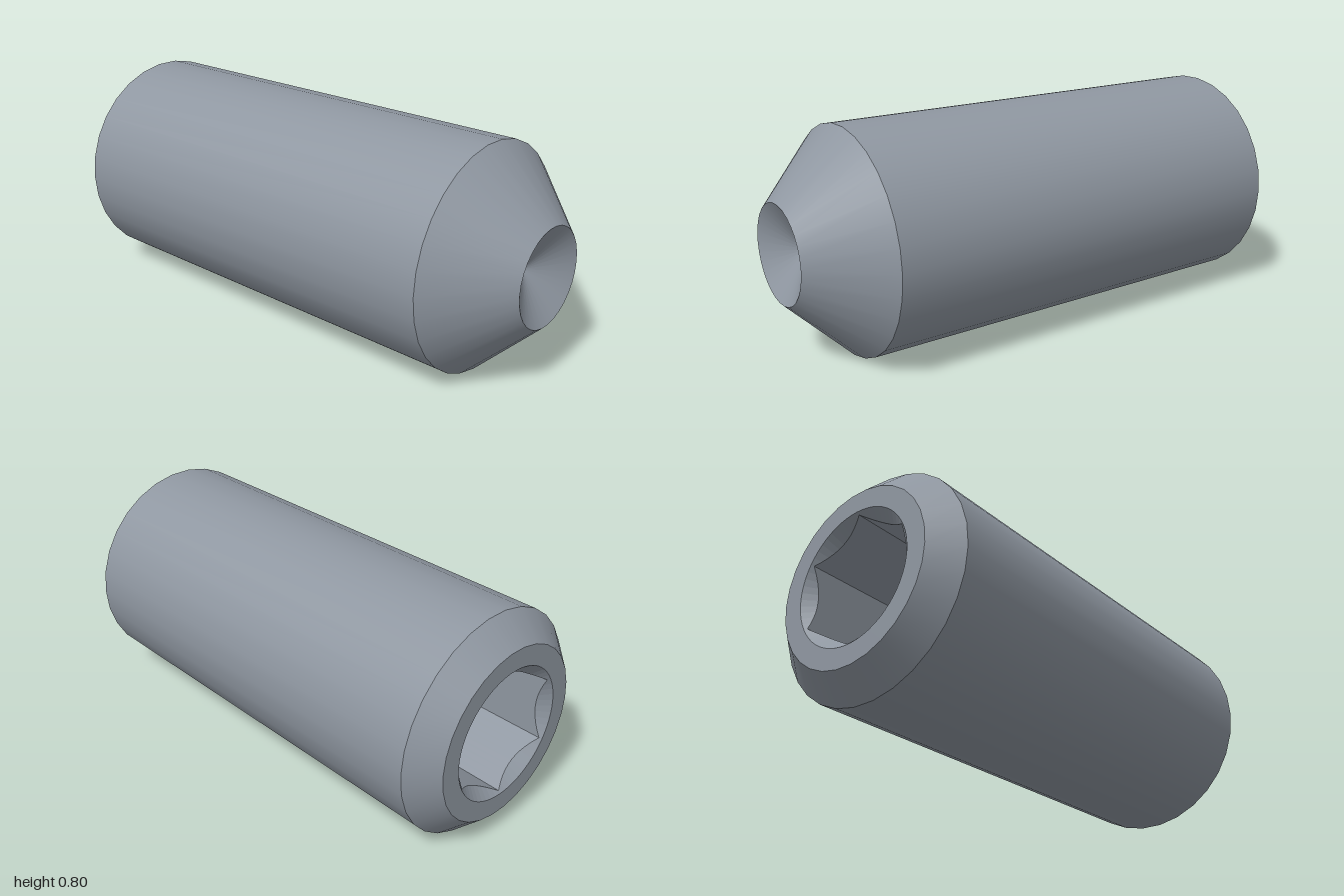
import * as THREE from 'three';

const SIDES = 30;
const R = 0.404, RIM = 0.314, CUP = 0.174;         // body, socket-end and cup radii
const Y0 = -0.954, Y1 = -0.8645, Y2 = 0.755, Y3 = 0.986; // stations along the axis
const MOUTH = 0.24, FLAT = 0.201, FLOOR = -0.45;   // hex socket

// Bridges two rings, each given as angle -> [radius, height]
function strip(ringA, ringB, steps = 60) {
  const pos = [];
  const at = (ring, i) => {
    const a = (i / steps) * Math.PI * 2;
    const [r, y] = ring(a);
    return [r * Math.sin(a), y, r * Math.cos(a)];
  };
  for (let i = 0; i < steps; i++) {
    const a0 = at(ringA, i), a1 = at(ringA, i + 1);
    const b0 = at(ringB, i), b1 = at(ringB, i + 1);
    pos.push(...a0, ...a1, ...b0, ...a1, ...b1, ...b0);
  }
  const g = new THREE.BufferGeometry();
  g.setAttribute('position', new THREE.Float32BufferAttribute(pos, 3));
  g.computeVertexNormals();
  return g;
}

// Radius of a regular polygon with the given apothem and a flat centred on angle 0
function polygon(a, apothem, sides) {
  const step = (Math.PI * 2) / sides;
  return apothem / Math.cos(a - Math.round(a / step) * step);
}

export function createModel() {
  const model = new THREE.Group();
  model.name = 'setScrew';
  const steel = new THREE.MeshStandardMaterial({ color: 0x8f97a1 });
  steel.name = 'steel grey';

  const screw = new THREE.Group();
  screw.name = 'screw';
  model.add(screw);
  const add = (name, geometry) => {
    const mesh = new THREE.Mesh(geometry, steel);
    mesh.name = name;
    screw.add(mesh);
  };

  // Turned outside: one smooth band per section, with sharp edges between them
  const bands = [
    ['socketEndChamfer', RIM, Y0, R, Y1],
    ['shank', R, Y1, R, Y2],
    ['pointCone', R, Y2, CUP, Y3],
    ['cupPoint', CUP, Y3, 0, Y3 - 0.1],
  ];
  for (const [name, ra, ya, rb, yb] of bands) {
    add(name, new THREE.LatheGeometry([new THREE.Vector2(ra, ya), new THREE.Vector2(rb, yb)], SIDES));
  }

  // Hex socket: floor, six walls, scalloped countersink and flat end face
  const hex = (a) => polygon(a, FLAT, 6);
  const centre = () => [0, FLOOR];
  const floorEdge = (a) => [hex(a), FLOOR];
  const scallop = (a) => [hex(a), Y0 + (MOUTH - hex(a))];
  const mouth = () => [MOUTH, Y0];
  const turn = Math.PI / SIDES;
  const rim = (a) => [polygon(a - turn, RIM * Math.cos(turn), SIDES), Y0];
  add('socketFloor', strip(centre, floorEdge));
  add('socketWalls', strip(floorEdge, scallop));
  add('socketCountersink', strip(scallop, mouth));
  add('endFace', strip(mouth, rim));

  // Lay the axis down, turned slightly towards the front
  const t = THREE.MathUtils.degToRad(11.93);
  const axis = new THREE.Vector3(Math.cos(t), 0, Math.sin(t));
  const side = new THREE.Vector3(-Math.sin(t), 0, Math.cos(t));
  const down = new THREE.Vector3(0, -1, 0);
  screw.quaternion.setFromRotationMatrix(new THREE.Matrix4().makeBasis(down, axis, side));
  screw.position.set(-0.001, R * Math.cos(turn), 0.005);
  return model;
}
